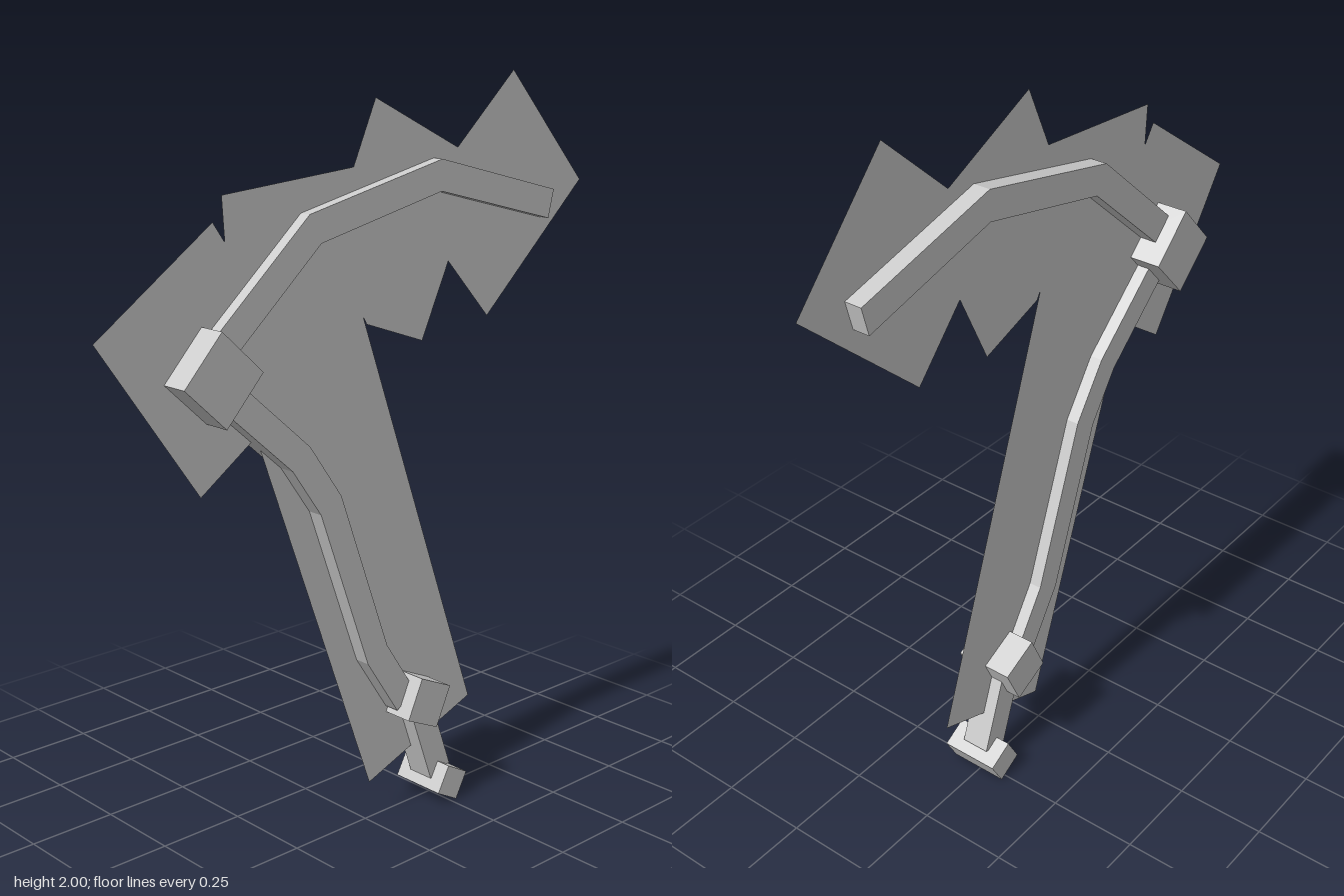
import * as THREE from 'three';

const grey = () => new THREE.MeshStandardMaterial({ color: 0xcccccc, flatShading: true, side: THREE.DoubleSide });

const toShape = (pts) => new THREE.Shape(pts.map(([x, y]) => new THREE.Vector2(x, y)));

function addMesh(group, name, geometry) {
  const mesh = new THREE.Mesh(geometry, grey());
  mesh.name = name;
  group.add(mesh);
  return mesh;
}

// Square-section bar following a bent centreline, with mitred bends
function bentBar(points, width, depth, zCentre) {
  const p = points.map(([x, y]) => new THREE.Vector2(x, y));
  const normals = p.slice(1).map((b, i) => {
    const d = b.clone().sub(p[i]).normalize();
    return new THREE.Vector2(-d.y, d.x);
  });
  const upper = [], lower = [];
  p.forEach((c, i) => {
    const a = normals[Math.max(i - 1, 0)];
    const b = normals[Math.min(i, normals.length - 1)];
    const m = a.clone().add(b).normalize();
    m.multiplyScalar(width / 2 / m.dot(a));
    upper.push([c.x + m.x, c.y + m.y]);
    lower.unshift([c.x - m.x, c.y - m.y]);
  });
  const geo = new THREE.ExtrudeGeometry(toShape([...upper, ...lower]), { depth, bevelEnabled: false });
  return geo.translate(0, 0, zCentre - depth / 2);
}

// Block turned in the plane of the arm
function addBlock(group, name, x, y, z, size, depth, degrees) {
  const block = addMesh(group, name, new THREE.BoxGeometry(size, size, depth));
  block.position.set(x, y, z);
  block.rotation.z = THREE.MathUtils.degToRad(degrees);
}

export function createModel() {
  const group = new THREE.Group();
  group.name = 'bentArm';

  // Thin backing sheet running through the middle of the bars
  addMesh(group, 'sheet', new THREE.ShapeGeometry(toShape([
    [-0.83, 1.45], [-0.54, 1.035], [-0.38, 1.145], [-0.355, 1.125],
    [0.015, 0.105], [0.405, 0.25], [-0.007, 1.405], [0.005, 1.385],
    [0.205, 1.315], [0.3, 1.515], [0.453, 1.35], [0.825, 1.69],
    [0.54, 2.0], [0.33, 1.81], [0.035, 1.95], [-0.04, 1.785],
    [-0.457, 1.75], [-0.45, 1.64], [-0.485, 1.69],
  ])));

  // Upper and lower bars
  addMesh(group, 'upperBar', bentBar(
    [[-0.48, 1.40], [-0.195, 1.65], [0.24, 1.747], [0.668, 1.638]], 0.08, 0.08, -0.007));
  addMesh(group, 'lowerBar', bentBar(
    [[-0.465, 1.27], [-0.258, 1.087], [-0.16, 0.947], [0.003, 0.497], [0.11, 0.335]], 0.078, 0.08, 0.005));
  addMesh(group, 'post', bentBar([[0.165, 0.31], [0.247, 0.08]], 0.078, 0.08, 0.005));

  // Joint blocks and foot
  addBlock(group, 'upperJoint', -0.52, 1.331, -0.006, 0.167, 0.165, 47);
  addBlock(group, 'lowerJoint', 0.158, 0.325, 0.006, 0.12, 0.165, -25);
  addBlock(group, 'foot', 0.253, 0.056, 0.006, 0.082, 0.165, -29);

  return group;
}
